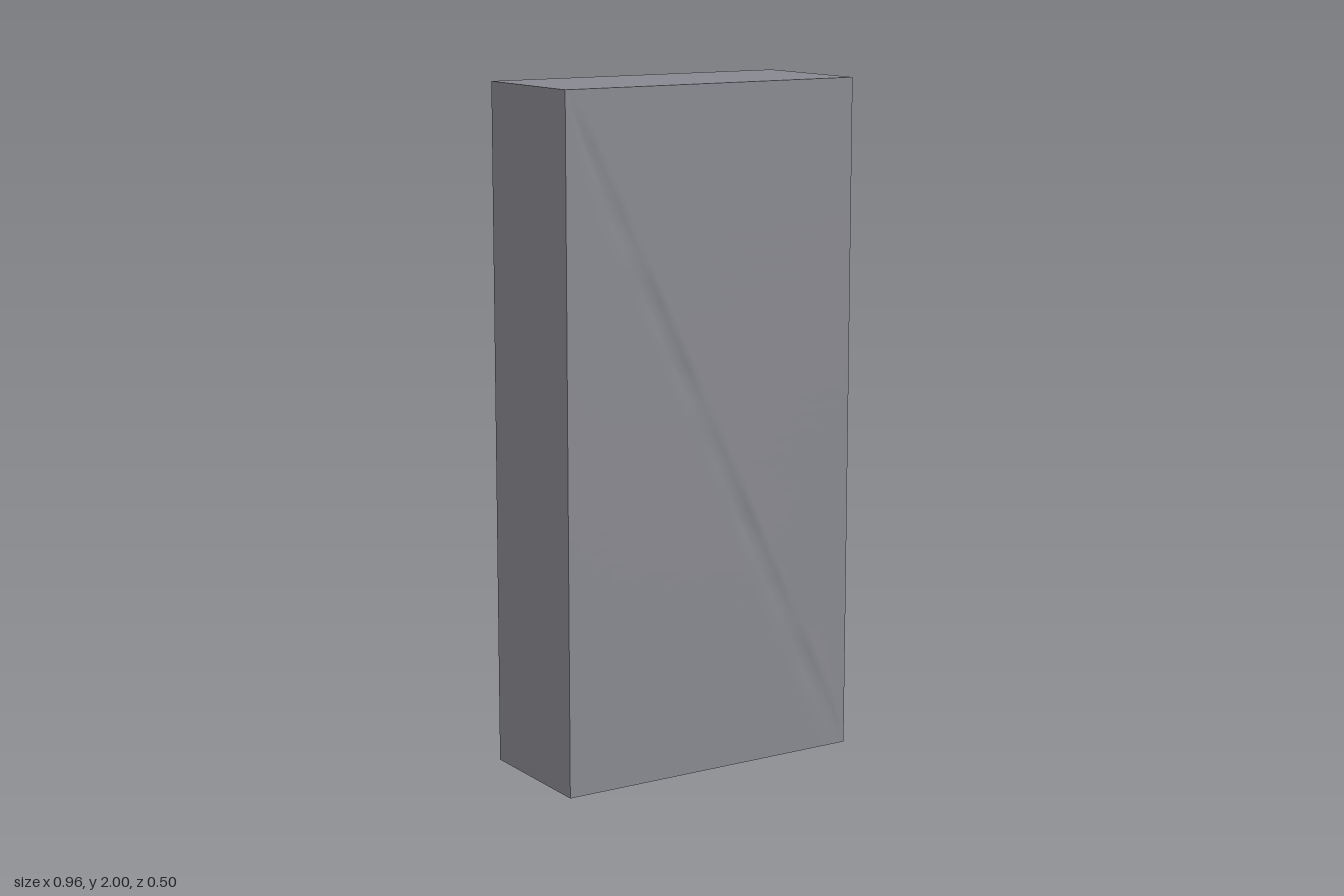
import * as THREE from 'three';

// Box whose front and back faces carry a shallow, uneven diagonal crease.
function creasedBox(name, color, [x0, x1], [y0, y1], [z0, z1], width, depth) {
  const w = x1 - x0, h = y1 - y0, d = z1 - z0, hw = w / 2;
  const geo = new THREE.BoxGeometry(w, h, d, 6, 40, 1);
  const pos = geo.attributes.position, nor = geo.attributes.normal;
  for (let i = 0; i < pos.count; i++) {
    const s = Math.sign(Math.round(nor.getZ(i)));
    if (!s) continue;
    const t = pos.getY(i) / h + 0.5;
    const column = Math.round((s * pos.getX(i) / w + 0.5) * 6);
    // u runs left to right as that face is seen from outside
    const mid = hw * (1 - 2 * t);
    const left = mid + hw, right = hw - mid;
    const near = Math.min(width, left / 2), far = Math.min(width * 0.5, right / 2);
    const u = [-hw, mid - near, mid - near * 0.4, mid, mid + far * 0.3, mid + far, hw][column];
    // the crease fades out toward both corners
    const fade = Math.min(1, 8 * t * (1 - t));
    const wave = 0.6 + 0.4 * Math.sin(t * 39) * Math.cos(t * 17);
    const dent = [0, 0, 0.35, 1, -0.2, 0, 0][column] * depth * wave * fade;
    pos.setX(i, s * u);
    pos.setZ(i, s * (d / 2 - dent));
  }
  geo.computeVertexNormals();
  const mesh = new THREE.Mesh(geo, new THREE.MeshStandardMaterial({ color }));
  mesh.name = name;
  mesh.position.set((x0 + x1) / 2, (y0 + y1) / 2, (z0 + z1) / 2);
  return mesh;
}

export function createModel() {
  const group = new THREE.Group();
  group.name = 'slabWithBackBlocks';
  const grey = 0x888890, cyan = 0x5fd0dc;

  // Tall main slab
  group.add(creasedBox('slab', grey, [-0.48, 0.48], [0, 2], [-0.162, 0.248], 0.08, 0.014));

  // Two raised blocks on the back: a wide one above a narrow one
  group.add(creasedBox('upperBlock', cyan, [-0.195, 0.19], [1.09, 1.48], [-0.252, -0.16], 0.02, 0.004));
  group.add(creasedBox('lowerBlock', cyan, [-0.08, 0.07], [0.385, 1.03], [-0.252, -0.16], 0.01, 0.003));
  return group;
}
